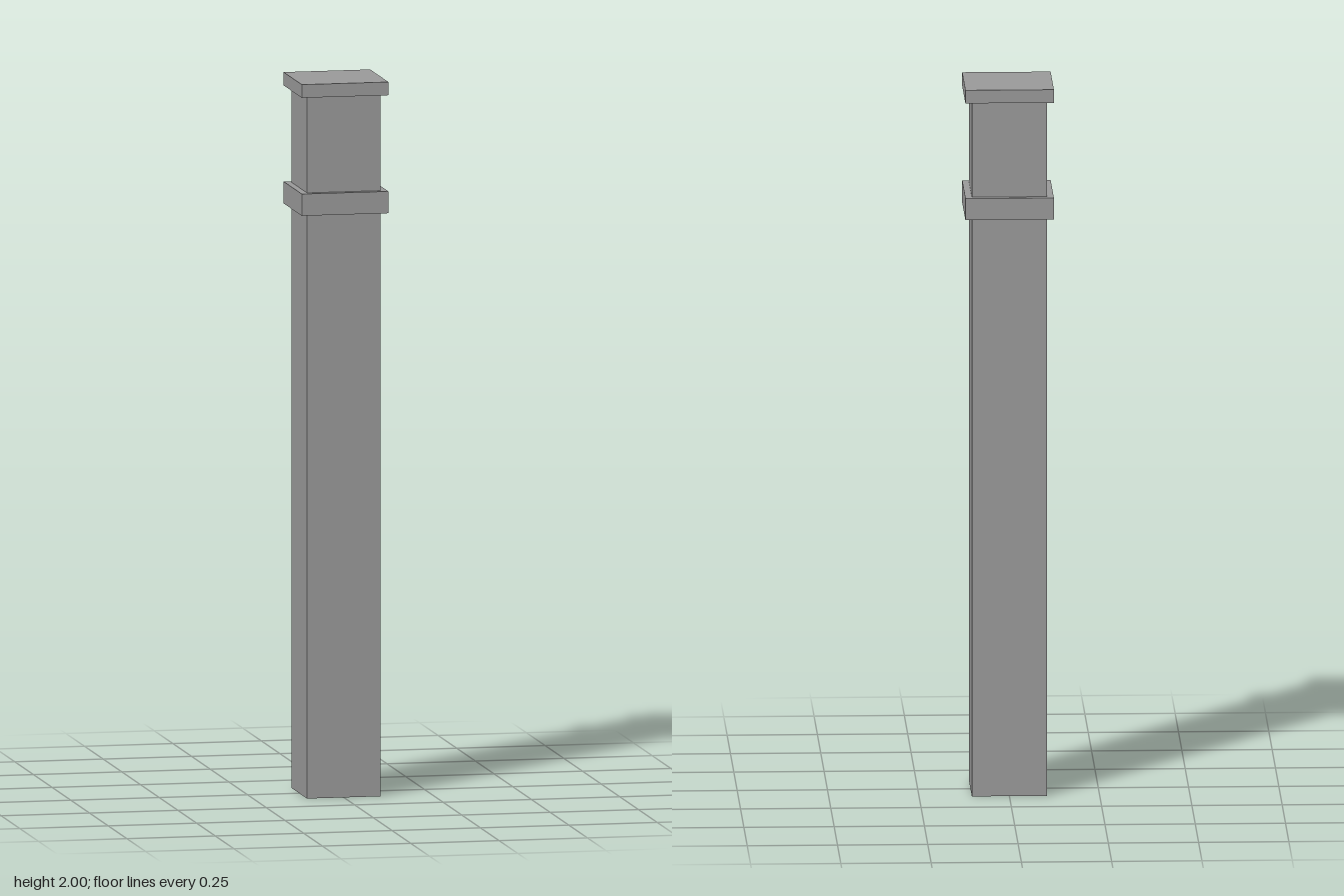
import * as THREE from 'three';

export function createModel() {
  const post = new THREE.Group();
  post.name = 'post';
  const material = new THREE.MeshStandardMaterial({ color: 0x9a9a9a });

  // Square block centred on the post axis, spanning two heights
  function addBlock(name, width, bottom, top) {
    const mesh = new THREE.Mesh(new THREE.BoxGeometry(width, top - bottom, width), material);
    mesh.position.y = (bottom + top) / 2;
    mesh.name = name;
    post.add(mesh);
  }

  addBlock('shaft', 0.208, 0, 1.963);
  addBlock('collar', 0.245, 1.633, 1.694);
  addBlock('cap', 0.245, 1.963, 2);

  return post;
}
